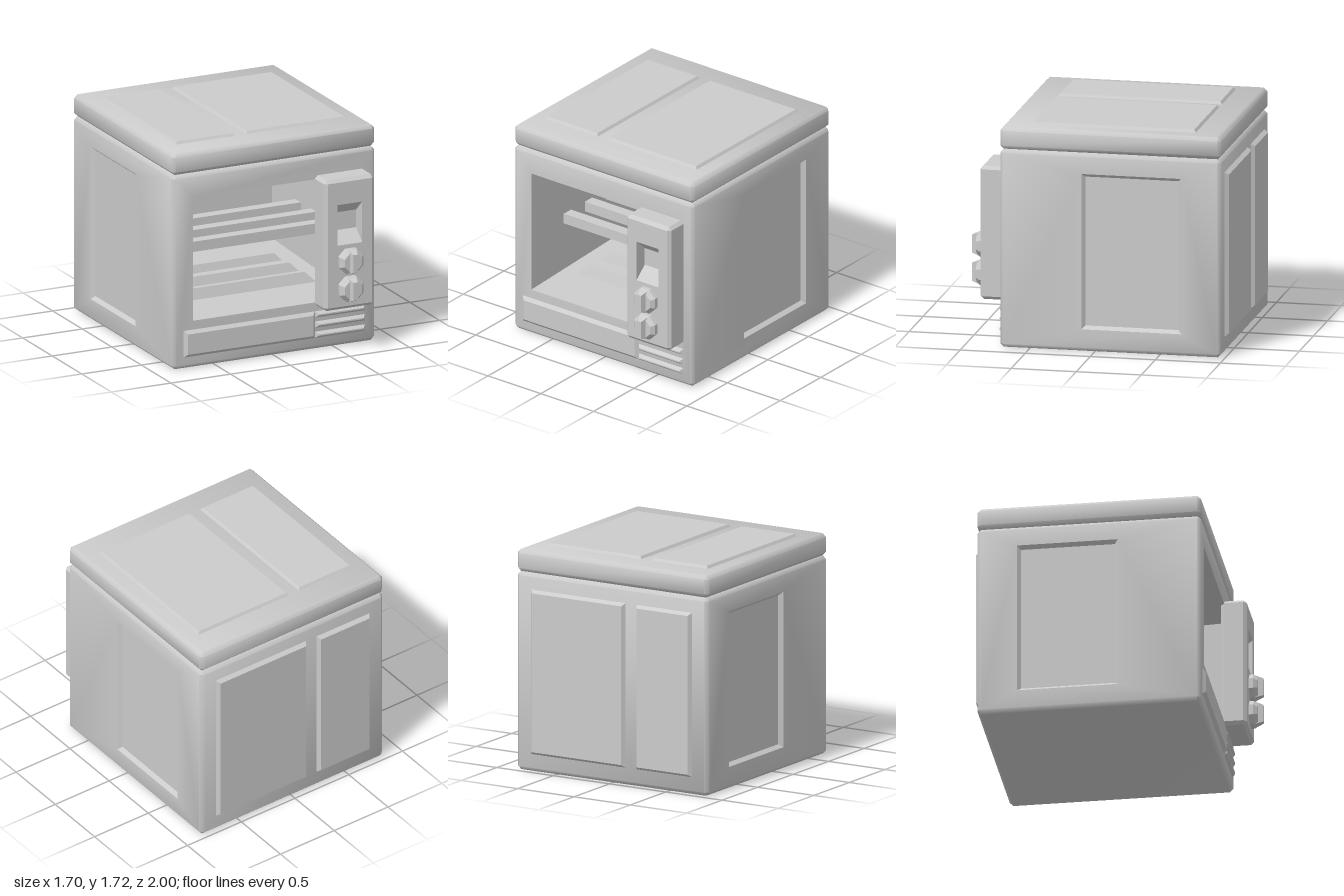
import * as THREE from 'three';
import { mergeGeometries, toCreasedNormals } from 'three/addons/utils/BufferGeometryUtils.js';
import { ConvexGeometry } from 'three/addons/geometries/ConvexGeometry.js';

const smooth = new THREE.MeshStandardMaterial({ color: 0xcccccc });
const flat = new THREE.MeshStandardMaterial({ color: 0xcccccc, flatShading: true });

function add(parent, name, geometry, x = 0, y = 0, z = 0, material = flat) {
  const mesh = new THREE.Mesh(geometry, material);
  mesh.name = name;
  mesh.position.set(x, y, z);
  parent.add(mesh);
  return mesh;
}

// Box with 45 degree chamfers, centred on the origin
function chamferBox(w, h, d, b) {
  const points = [];
  for (const x of [-w / 2, w / 2]) for (const y of [-h / 2, h / 2]) for (const z of [-d / 2, d / 2]) {
    const sx = Math.sign(x) * b, sy = Math.sign(y) * b, sz = Math.sign(z) * b;
    points.push(new THREE.Vector3(x, y - sy, z - sz));
    points.push(new THREE.Vector3(x - sx, y, z - sz));
    points.push(new THREE.Vector3(x - sx, y - sy, z));
  }
  return new ConvexGeometry(points);
}

// Removes the flat face of a box that lies at the given limit of one axis
function openFace(geometry, axis, limit) {
  const p = geometry.attributes.position, kept = [];
  for (let i = 0; i < p.count; i += 3) {
    const corners = [i, i + 1, i + 2];
    if (corners.every((k) => Math.abs(p.getComponent(k, axis) - limit) < 1e-4)) continue;
    for (const k of corners) kept.push(p.getX(k), p.getY(k), p.getZ(k));
  }
  const g = new THREE.BufferGeometry();
  g.setAttribute('position', new THREE.Float32BufferAttribute(kept, 3));
  g.computeVertexNormals();
  return g;
}

// Flat rectangle facing +z with a rectangular hole; hole = [x0, x1, y0, y1]
function holedFace(w, h, [x0, x1, y0, y1]) {
  const ring = (a, b, c, d) => [[a, c], [b, c], [b, d], [a, d]].map((p) => new THREE.Vector2(...p));
  const shape = new THREE.Shape(ring(-w / 2, w / 2, -h / 2, h / 2));
  shape.holes.push(new THREE.Path(ring(x0, x1, y0, y1)));
  const g = new THREE.ShapeGeometry(shape).toNonIndexed();
  g.deleteAttribute('uv');
  return g;
}

// Rim rectangle at z = 0 sloping to an inner rectangle: raised if depth > 0, recessed if < 0
function tray(w, h, w2, h2, depth) {
  const ring = (a, b, z) => [-a / 2, -b / 2, z, a / 2, -b / 2, z, a / 2, b / 2, z, -a / 2, b / 2, z];
  const index = [4, 5, 6, 4, 6, 7];
  for (let i = 0; i < 4; i++) {
    const j = (i + 1) % 4;
    index.push(i, j, j + 4, i, j + 4, i + 4);
  }
  const g = new THREE.BufferGeometry();
  g.setAttribute('position', new THREE.Float32BufferAttribute([...ring(w, h, 0), ...ring(w2, h2, depth)], 3));
  g.setIndex(index);
  const out = g.toNonIndexed();
  out.computeVertexNormals();
  return out;
}

const slab = (w, h, b, depth) => tray(w, h, w - 2 * b, h - 2 * b, depth);

export function createModel() {
  const model = new THREE.Group();

  // Body shell, open at the front and with a recess in each side
  const W = 1.7, H = 1.53, D = 1.7, B = 0.028, midY = H / 2, midZ = -0.12;
  let shell = chamferBox(W, H, D, B);
  shell = openFace(shell, 2, D / 2);
  shell = openFace(shell, 0, W / 2);
  shell = openFace(shell, 0, -W / 2);
  const parts = [shell];
  parts.push(holedFace(W - 2 * B, H - 2 * B, [-0.68, 0.68, 0.37 - midY, 1.34 - midY]).translate(0, 0, D / 2));
  for (const s of [1, -1]) {
    const z0 = -0.665 - midZ, z1 = 0.1 - midZ;
    const hole = s > 0 ? [-z1, -z0] : [z0, z1];
    parts.push(holedFace(D - 2 * B, H - 2 * B, [...hole, 0.17 - midY, 1.37 - midY])
      .rotateY(s * Math.PI / 2).translate(s * W / 2, 0, 0));
  }
  for (const g of parts) g.deleteAttribute('uv');
  add(model, 'body', toCreasedNormals(mergeGeometries(parts), 0.9), 0, midY, midZ, smooth);
  for (const s of [1, -1]) {
    const recess = add(model, 'sideRecess', slab(0.765, 1.2, 0.025, -0.03), s * W / 2, 0.77, -0.2825);
    recess.rotation.y = s * Math.PI / 2;
  }

  // Oven cavity, narrowing towards the back, with rack bars and floor ribs
  add(model, 'cavity', tray(1.36, 0.97, 1.36, 0.85, -1.41), 0, 0.855, 0.73);
  for (const z of [0.285, 0.025, -0.235]) {
    add(model, 'rackBar', new THREE.BoxGeometry(1.36, 0.08, 0.09), 0, 0.81, z);
    const rib = add(model, 'floorRib', tray(1.12, 0.1, 0.94, 0.04, 0.09), 0, 0.38, z - 0.01);
    rib.rotation.x = -Math.PI / 2;
  }

  // Lid
  add(model, 'lid', toCreasedNormals(chamferBox(W, 0.17, D, B), 0.9), 0, 1.615, midZ, smooth);

  // Raised panels on the lid and on the back
  for (const [x0, x1] of [[-0.715, -0.22], [-0.125, 0.715]]) {
    const x = (x0 + x1) / 2, w = x1 - x0;
    const top = add(model, 'topPanel', slab(w, 1.26, 0.015, 0.02), x, 1.7, -0.12);
    top.rotation.x = -Math.PI / 2;
    const back = add(model, 'backPanel', slab(w, 1.27, 0.022, 0.03), x, 0.77, -0.97);
    back.rotation.y = Math.PI;
  }

  // Drawer front and vent strips
  add(model, 'drawerFront', slab(1.1, 0.21, 0.025, 0.025), -0.21, 0.195, 0.73);
  for (const y of [0.275, 0.195, 0.115]) add(model, 'ventStrip', slab(0.42, 0.05, 0.02, 0.025), 0.55, y, 0.73);

  // Control panel with a sunken display
  const panel = new THREE.Group();
  panel.name = 'controlPanel';
  panel.position.set(0.55, 0.855, 0.9);
  model.add(panel);
  const box = openFace(chamferBox(0.42, 1.03, 0.195, 0.025), 2, 0.0975);
  add(panel, 'panelHousing', box, 0, 0, -0.0975);
  add(panel, 'panelFace', holedFace(0.37, 0.98, [-0.103, 0.103, -0.005, 0.315]));
  add(panel, 'display', tray(0.206, 0.32, 0.206, 0.14, -0.1), 0, 0.155, 0);

  // Octagonal knobs with a raised grip
  const profile = [[0.105, 0], [0.105, 0.032], [0.078, 0.062], [0, 0.062]].map((p) => new THREE.Vector2(...p));
  for (const y of [-0.133, -0.352]) {
    const dial = new THREE.LatheGeometry(profile, 8).rotateY(Math.PI / 8).rotateX(Math.PI / 2);
    add(panel, 'knob', dial, 0, y, 0);
    add(panel, 'knobGrip', tray(0.075, 0.19, 0.035, 0.14, 0.07), 0, y, 0.03);
  }
  return model;
}
